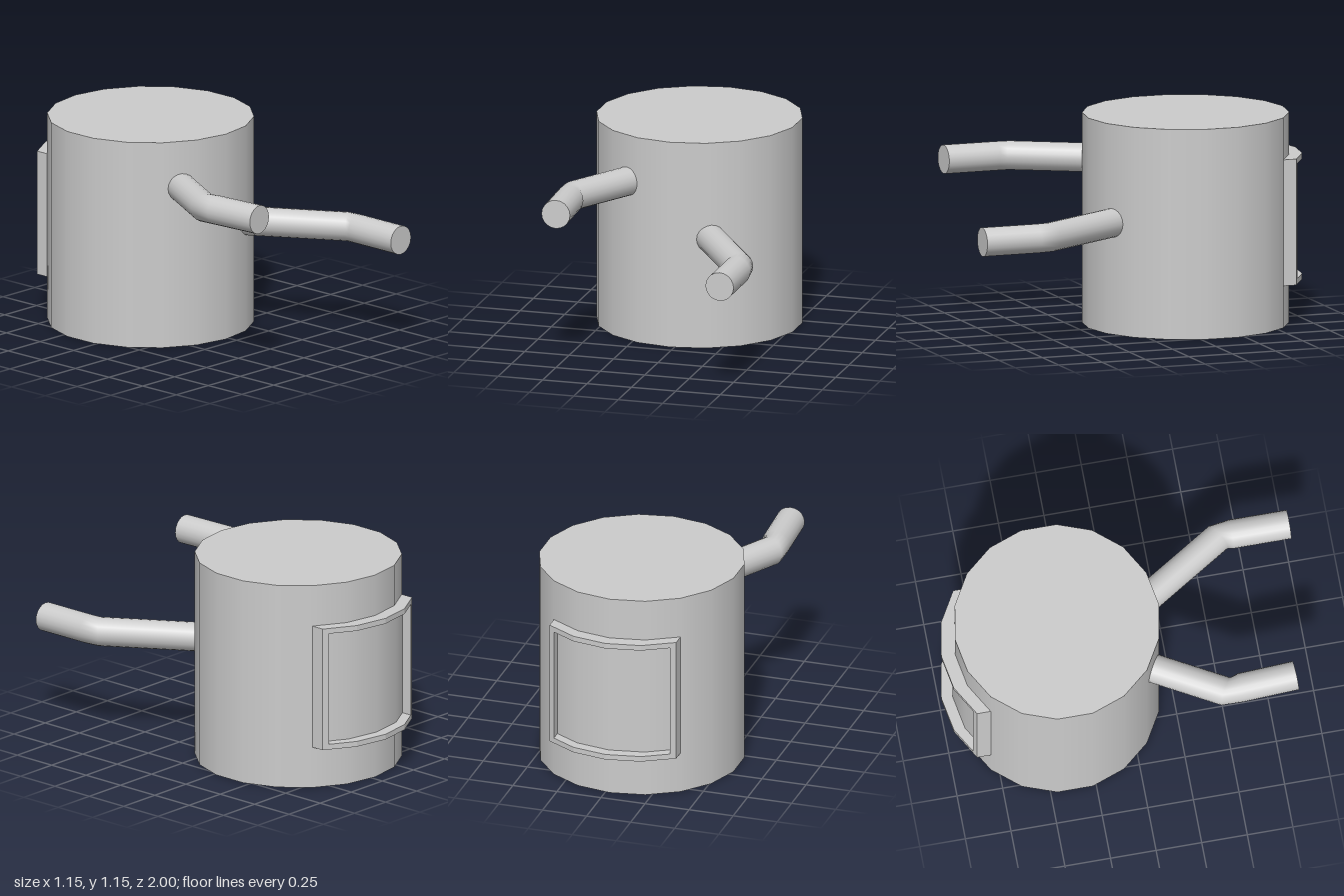
import * as THREE from 'three';

const CX = -0.025, CZ = -0.366, R = 0.559, H = 1.15, SIDES = 18;
const ARC = THREE.MathUtils.degToRad(40);
const grey = new THREE.MeshStandardMaterial({ color: 0xcccccc });

function add(parent, name, geometry) {
  const mesh = new THREE.Mesh(geometry, grey);
  mesh.name = name;
  parent.add(mesh);
  return mesh;
}

// Points of the body's faceted back wall between two x offsets, pushed back by depth
function backArc(x0, x1, depth) {
  const facets = [-1, -0.5, 0, 0.5, 1].map(t =>
    new THREE.Vector2(R * Math.sin(t * ARC), R * Math.cos(t * ARC)));
  const at = x => {
    const i = THREE.MathUtils.clamp(facets.filter(p => p.x <= x).length - 1, 0, 3);
    const a = facets[i], b = facets[i + 1];
    return new THREE.Vector2(x, THREE.MathUtils.mapLinear(x, a.x, b.x, a.y, b.y));
  };
  return [at(x0), ...facets.filter(p => p.x > x0 + 1e-4 && p.x < x1 - 1e-4), at(x1)]
    .map(p => new THREE.Vector2(CX + p.x, p.y - CZ + depth));
}

// Slab wrapped on the back wall, from height y0 to y1
function backSlab(x0, x1, depth, y0, y1) {
  const outer = backArc(x0, x1, depth);
  const inner = backArc(x0, x1, -0.003).reverse();
  const geometry = new THREE.ExtrudeGeometry(new THREE.Shape([...outer, ...inner]),
    { depth: y1 - y0, bevelEnabled: false });
  return geometry.rotateX(-Math.PI / 2).translate(0, y0, 0);
}

// Bent arm: the four rings of a cylinder are moved to shoulder, both sides of the elbow, and hand
function armGeometry(points) {
  const p = points.map(c => new THREE.Vector3(...c));
  const [upper, fore] = [[0, 1], [2, 3]].map(([a, b]) => new THREE.Quaternion()
    .setFromUnitVectors(new THREE.Vector3(0, 0, 1), p[b].clone().sub(p[a]).normalize()));
  const geometry = new THREE.CylinderGeometry(0.079, 0.079, 3, 20, 3).rotateX(Math.PI / 2);
  const { position, normal } = geometry.attributes;
  const v = new THREE.Vector3(), n = new THREE.Vector3();
  for (let i = 0; i < position.count; i++) {
    v.fromBufferAttribute(position, i);
    n.fromBufferAttribute(normal, i);
    const ring = Math.round(v.z + 1.5);
    const turn = ring < 2 ? upper : fore;
    v.setZ(0).applyQuaternion(turn).add(p[ring]);
    n.applyQuaternion(turn);
    position.setXYZ(i, v.x, v.y, v.z);
    normal.setXYZ(i, n.x, n.y, n.z);
  }
  return geometry;
}

export function createModel() {
  const model = new THREE.Group();
  model.name = 'barrelFigure';

  // Body
  add(model, 'body', new THREE.CylinderGeometry(R, R, H, SIDES)).position.set(CX, H / 2, CZ);

  // Raised frame on the back
  const half = R * Math.sin(ARC);
  const depth = 0.075, bar = 0.03, y0 = 0.23, y1 = 0.92;
  const frame = new THREE.Group();
  frame.name = 'backFrame';
  add(frame, 'frameBottom', backSlab(-half, half, depth, y0, y0 + bar));
  add(frame, 'frameTop', backSlab(-half, half, depth, y1 - bar, y1));
  add(frame, 'frameRight', backSlab(-half, -half + bar, depth, y0 + bar, y1 - bar));
  add(frame, 'frameLeft', backSlab(half - bar, half, depth, y0 + bar, y1 - bar));

  // Smooth shallow panel inside the frame
  const panel = new THREE.CylinderGeometry(R, R, y1 - y0 - bar, 4, 1, true, Math.PI - ARC, 2 * ARC);
  add(frame, 'framePanel', panel).position.set(CX, (y0 + y1) / 2, CZ - 0.014);
  model.add(frame);

  // Bent arms reaching forward, set at different heights
  add(model, 'rightArm', armGeometry(
    [[-0.245, 0.889, 0.04], [-0.488, 0.89, 0.475], [-0.482, 0.892, 0.56], [-0.467, 0.894, 0.862]]));
  add(model, 'leftArm', armGeometry(
    [[0.14, 0.61, 0.055], [0.49, 0.608, 0.612], [0.496, 0.607, 0.685], [0.496, 0.606, 1.0]]));

  return model;
}
